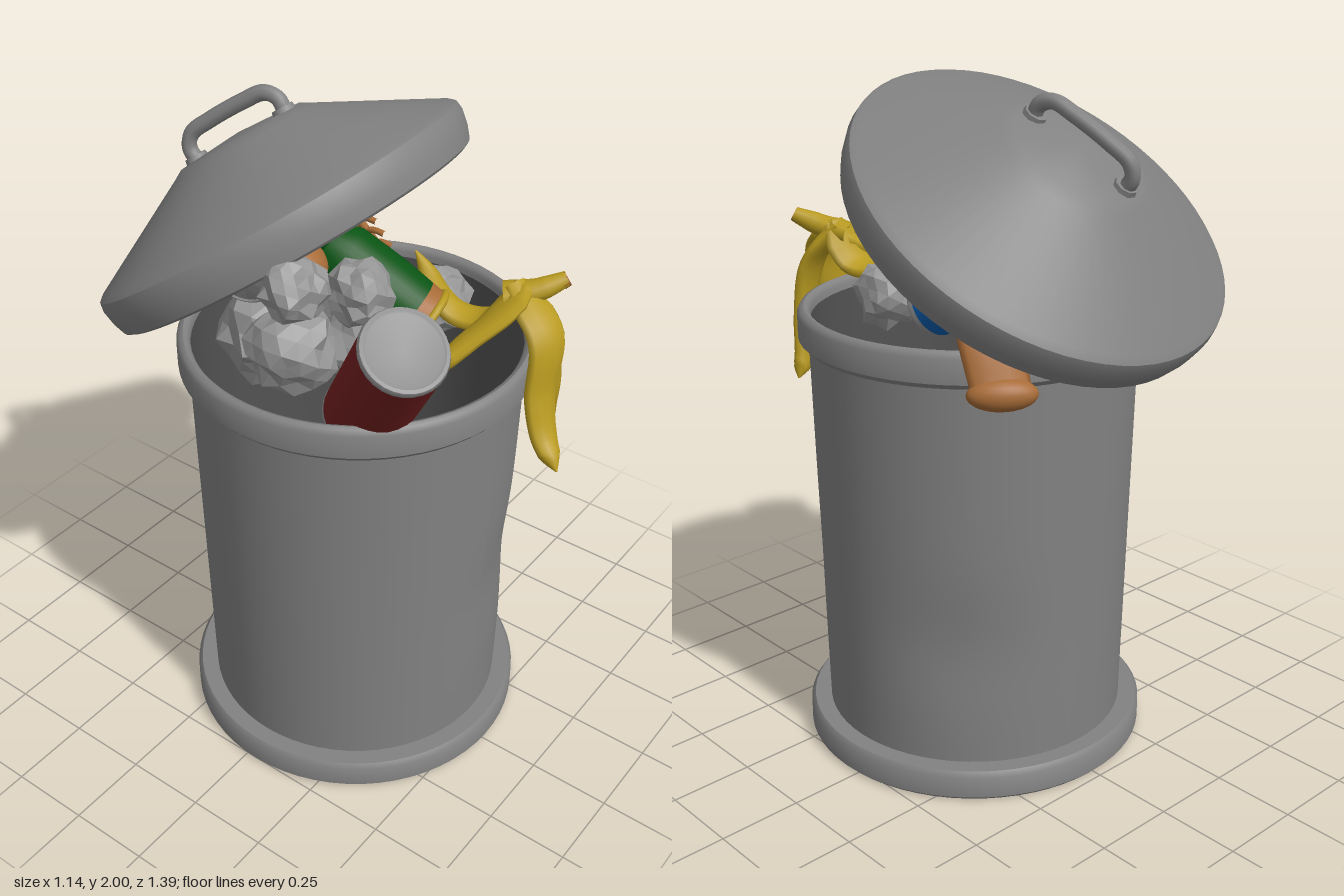
import * as THREE from 'three';
import { toCreasedNormals } from 'three/addons/utils/BufferGeometryUtils.js';

const material = (name, color, extra = {}) => {
  const m = new THREE.MeshStandardMaterial({ color, ...extra });
  m.name = name;
  return m;
};
const steel = material('steel grey', 0x828282);
const inside = material('dark inside', 0x525252);
const paper = material('paper grey', 0x969696, { flatShading: true });
const metal = material('can metal', 0x909090);
const red = material('dark red', 0x742020);
const blue = material('blue', 0x0a5cac);
const green = material('green', 0x0a5414);
const yellow = material('peel yellow', 0xb89a20);
const brown = material('orange brown', 0xa86c38);

const V = (p) => new THREE.Vector3(...p);
const UP = new THREE.Vector3(0, 1, 0);

function add(parent, name, geometry, mat, pos = [0, 0, 0]) {
  const m = new THREE.Mesh(geometry, mat);
  m.name = name;
  m.position.set(...pos);
  parent.add(m);
  return m;
}

const lathe = (pts, seg = 64) =>
  toCreasedNormals(new THREE.LatheGeometry(pts.map((p) => new THREE.Vector2(...p)), seg), 0.7);

const tube = (pts, r, seg = 24) =>
  new THREE.TubeGeometry(new THREE.CatmullRomCurve3(pts.map(V)), seg, r, 8);

// Group whose local y axis runs from a to b
function between(parent, name, a, b) {
  const g = new THREE.Group(), d = V(b).sub(V(a));
  g.name = name;
  g.position.copy(V(a));
  g.quaternion.setFromUnitVectors(UP, d.clone().normalize());
  parent.add(g);
  return [g, d.length()];
}

// Drinks can with coloured bands, each [start, end, material] along its length
function drinksCan(parent, name, a, b, r, bands) {
  const [g, len] = between(parent, name, a, b);
  for (const [s, e, mat] of bands)
    add(g, 'canBand', new THREE.CylinderGeometry(r, r, (e - s) * len, 28, 1, true), mat, [0, (s + e) / 2 * len, 0]);
  const end = [[r, -0.002], [r * 1.02, 0.006], [r * 0.98, 0.018], [r * 0.9, 0.02], [r * 0.84, 0.016], [0, 0.016]];
  add(g, 'canTop', lathe(end, 28), metal, [0, len, 0]);
  add(g, 'canBottom', lathe(end, 28), metal).rotation.x = Math.PI;
}

// Flattened sweep: stations along a path with varying half width and half thickness
function strip(pts, widths, thickness, side) {
  const curve = new THREE.CatmullRomCurve3(pts.map(V)), N = 28, M = 10, pos = [], idx = [];
  for (let i = 0; i <= N; i++) {
    const t = i / N, c = curve.getPoint(t), tan = curve.getTangent(t);
    const s = V(side).addScaledVector(tan, -V(side).dot(tan)).normalize();
    const n = tan.clone().cross(s);
    const f = t * (widths.length - 1), k = Math.min(Math.floor(f), widths.length - 2);
    const w = THREE.MathUtils.lerp(widths[k], widths[k + 1], f - k);
    const h = Math.min(w, thickness);
    for (let j = 0; j < M; j++) {
      const a = j / M * Math.PI * 2;
      pos.push(...c.clone().addScaledVector(s, Math.cos(a) * w).addScaledVector(n, Math.sin(a) * h).toArray());
    }
  }
  for (let i = 0; i < N; i++) for (let j = 0; j < M; j++) {
    const a = i * M + j, b = i * M + (j + 1) % M;
    idx.push(a, b, a + M, b, b + M, a + M);
  }
  const g = new THREE.BufferGeometry();
  g.setAttribute('position', new THREE.Float32BufferAttribute(pos, 3));
  g.setIndex(idx);
  g.computeVertexNormals();
  return g;
}

// Crumpled ball: icosphere pushed in and out by a position hash
function crumple(r, seed, amount = 0.3) {
  const g = new THREE.IcosahedronGeometry(r, 2), p = g.attributes.position, v = new THREE.Vector3();
  for (let i = 0; i < p.count; i++) {
    v.fromBufferAttribute(p, i);
    const q = v.toArray().map((c) => Math.round(c / r * 100));
    const h = Math.abs(Math.sin(q[0] * 1.27 + q[1] * 3.11 + q[2] * 2.03 + seed) * 437.58) % 1;
    v.multiplyScalar(1 + (h - 0.55) * amount);
    p.setXYZ(i, v.x, v.y, v.z);
  }
  g.computeVertexNormals();
  return g;
}

// Dented wall, open at both ends
function dentedWall(rTop, rBottom, y0, y1) {
  const g = new THREE.CylinderGeometry(rTop, rBottom, y1 - y0, 64, 32, true);
  g.translate(0, (y0 + y1) / 2, 0);
  const p = g.attributes.position;
  const dents = [[0.35, 0.6, 0.016], [2.3, 0.45, 0.016]];
  for (let i = 0; i < p.count; i++) {
    const x = p.getX(i), y = p.getY(i), z = p.getZ(i), ang = Math.atan2(x, z);
    let k = 1;
    for (const [a, h, d] of dents) {
      const da = Math.atan2(Math.sin(ang - a), Math.cos(ang - a));
      k -= d * 2 * Math.exp(-((da / 0.4) ** 2) - ((y - h) / 0.17) ** 2);
    }
    p.setXYZ(i, x * k, y, z * k);
  }
  g.computeVertexNormals();
  return g;
}

function buildBin(root) {
  const bin = new THREE.Group();
  bin.name = 'bin';
  bin.position.set(0.012, 0, 0.042);
  root.add(bin);
  add(bin, 'base', lathe([[0, 0], [0.51, 0], [0.52, 0.01], [0.52, 0.075], [0.508, 0.09], [0.44, 0.09]]), steel);
  add(bin, 'wall', dentedWall(0.483, 0.457, 0.08, 1.27), steel);
  const lining = dentedWall(0.475, 0.45, 0.09, 1.33);
  const idx = lining.index.array;
  for (let i = 0; i < idx.length; i += 3) [idx[i], idx[i + 1]] = [idx[i + 1], idx[i]];
  lining.computeVertexNormals();
  add(bin, 'innerWall', lining, inside);
  add(bin, 'floor', new THREE.CircleGeometry(0.455, 48).rotateX(-Math.PI / 2), inside, [0, 0.1, 0]);
  add(bin, 'rim', lathe([[0.478, 1.255], [0.5, 1.255], [0.513, 1.27], [0.513, 1.34], [0.505, 1.355],
    [0.494, 1.36], [0.482, 1.355], [0.474, 1.34], [0.478, 1.255]]), steel);
}

function buildLid(root) {
  const lid = new THREE.Group();
  lid.name = 'lid';
  lid.position.set(0, 1.59, -0.172);
  lid.rotation.set(-0.615, 0, 0.04);
  root.add(lid);
  add(lid, 'lidShell', lathe([[0, 0.28], [0.17, 0.265], [0.52, 0.1], [0.53, 0], [0.54, -0.012], [0.553, -0.005], [0.565, 0.03],
    [0.572, 0.075], [0.568, 0.1], [0.55, 0.115], [0.22, 0.285], [0.19, 0.302], [0, 0.315]]), steel);
  const handle = new THREE.Group();
  handle.name = 'handle';
  handle.position.set(0, 0.302, 0);
  handle.rotation.y = 0.33;
  lid.add(handle);
  add(handle, 'handleBar', tube([[0, -0.01, 0.155], [0, 0.04, 0.158], [0, 0.072, 0.13], [0, 0.08, 0.06], [0, 0.08, -0.06],
    [0, 0.072, -0.13], [0, 0.04, -0.158], [0, -0.01, -0.155]], 0.023, 40), steel);
  for (const s of [1, -1])
    add(handle, 'handleFoot', new THREE.CylinderGeometry(0.033, 0.037, 0.02, 8), steel, [0, 0.005, s * 0.155]);
}

function buildPeel(root) {
  const peel = new THREE.Group();
  peel.name = 'bananaPeel';
  root.add(peel);
  const flaps = [
    [[[0.19, 1.55, 0.44], [0.15, 1.45, 0.57], [0.11, 1.28, 0.59], [0.085, 1.17, 0.63], [0.05, 1.11, 0.695]], [1, 0, 0.3]],
    [[[0.19, 1.55, 0.44], [0.23, 1.42, 0.53], [0.25, 1.26, 0.55], [0.27, 1.14, 0.535], [0.31, 1.07, 0.515]], [1, 0, -0.4]],
    [[[0.2, 1.55, 0.46], [0.17, 1.43, 0.38], [0.14, 1.43, 0.28], [0.12, 1.59, 0.16]], [1, 0, 0]],
    [[[0.2, 1.54, 0.47], [0.1, 1.48, 0.44], [0.02, 1.43, 0.4], [-0.07, 1.37, 0.36]], [0, 0.6, 1]],
  ];
  for (const [pts, side] of flaps)
    add(peel, 'peelFlap', strip(pts, [0.035, 0.065, 0.065, 0.058, 0.052, 0.046, 0.035, 0.002], 0.024, side), yellow);
  add(peel, 'peelStem', strip([[0.17, 1.52, 0.42], [0.22, 1.54, 0.5], [0.27, 1.57, 0.555]], [0.05, 0.035, 0.022], 0.032, [1, 0, -1]), yellow);
  const [tip] = between(peel, 'stemTip', [0.265, 1.566, 0.55], [0.275, 1.574, 0.56]);
  add(tip, 'stemCut', new THREE.CylinderGeometry(0.022, 0.024, 0.02, 8), brown);
}

function buildFishBone(root) {
  const [fish, len] = between(root, 'fishBone', [0.2, 1.4, 0.1], [0.13, 1.64, -0.07]);
  add(fish, 'spine', new THREE.CylinderGeometry(0.012, 0.012, len, 8), brown, [0, len / 2, 0]);
  for (let i = 1; i <= 6; i++) {
    const y = i * len / 7, w = 0.025 + i * 0.005;
    add(fish, 'rib', tube([[0, y - 0.02, -w], [0, y, -w * 0.6], [0, y + 0.01, 0], [0, y, w * 0.6], [0, y - 0.02, w]], 0.009, 10), brown);
  }
  add(fish, 'fishHead', crumple(0.05, 9, 0.2), paper, [0, len + 0.02, 0]).scale.set(0.6, 1.2, 1);
}

function buildRubbish(root) {
  const heap = new THREE.Group();
  heap.name = 'rubbish';
  root.add(heap);
  drinksCan(heap, 'redCan', [-0.23, 1.28, 0.25], [-0.36, 1.62, 0.455], 0.117, [[0, 1, red]]);
  drinksCan(heap, 'stripedCan', [0.18, 1.38, 0.02], [0.14, 1.53, -0.24], 0.09,
    [[0, 0.28, blue], [0.28, 0.72, red], [0.72, 1, blue]]);
  drinksCan(heap, 'topRedCan', [-0.3, 1.6, -0.1], [-0.12, 1.68, -0.17], 0.075, [[0, 1, red]]);
  drinksCan(heap, 'lowRedCan', [-0.1, 1.45, -0.1], [0.08, 1.5, -0.18], 0.08, [[0, 1, red]]);
  add(heap, 'blueScrap', crumple(0.055, 4), blue, [0.09, 1.48, 0.15]);

  // Green bottle with a short brown end and a yellow rim
  const [bottle, len] = between(heap, 'greenBottle', [-0.03, 1.49, 0.295], [-0.13, 1.69, 0.03]);
  add(bottle, 'bottleEnd', lathe([[0.075, 0], [0.092, 0], [0.093, len * 0.13]], 28), brown);
  add(bottle, 'bottleBottom', new THREE.CircleGeometry(0.085, 28).rotateX(Math.PI / 2), yellow, [0, 0.01, 0]);
  add(bottle, 'bottleRim', new THREE.TorusGeometry(0.09, 0.012, 8, 28).rotateX(Math.PI / 2), yellow);
  add(bottle, 'bottleSleeve', lathe([[0.093, len * 0.13], [0.096, len * 0.4], [0.092, len * 0.8], [0.07, len * 0.96], [0, len]], 28), green);

  // Crumpled paper, each [x, y, z, radius]
  [[-0.26, 1.67, 0.25, 0.088], [-0.39, 1.7, 0.14, 0.088], [-0.17, 1.45, 0.2, 0.11], [0.22, 1.39, 0.17, 0.1],
    [-0.35, 1.5, 0.1, 0.12], [0, 1.4, 0.1, 0.14], [0.05, 1.36, -0.18, 0.12], [-0.2, 1.4, -0.1, 0.15]]
    .forEach(([x, y, z, r], i) => add(heap, 'paperBall', crumple(r, i * 1.7), paper, [x, y, z]));

  // Bread lumps
  for (const [x, y, z, r] of [[-0.3, 1.7, 0.06, 0.09], [-0.11, 1.43, 0.29, 0.09], [-0.15, 1.58, 0, 0.09]])
    add(heap, 'breadLump', new THREE.SphereGeometry(r, 20, 14), brown, [x, y, z]).scale.set(1, 0.85, 1.1);

  // Broad crusts drooping over the back rim, each with a rounded end
  for (const pts of [
    [[0.22, 1.45, -0.14], [0.28, 1.5, -0.25], [0.34, 1.43, -0.37], [0.36, 1.275, -0.45]],
    [[0.1, 1.47, -0.2], [0.12, 1.49, -0.35], [0.11, 1.43, -0.48], [0.09, 1.31, -0.565]],
  ]) {
    add(heap, 'crust', strip(pts, [0.04, 0.07, 0.085, 0.085, 0.08], 0.028, [1, 0, 0.6]), brown);
    const end = add(heap, 'crustEnd', new THREE.SphereGeometry(1, 20, 14), brown, pts[3]);
    end.scale.set(0.095, 0.045, 0.045);
    end.rotation.y = -Math.PI / 5;
  }
}

export function createModel() {
  const root = new THREE.Group();
  root.name = 'overflowingBin';
  buildBin(root);
  buildLid(root);
  buildPeel(root);
  buildFishBone(root);
  buildRubbish(root);
  return root;
}
